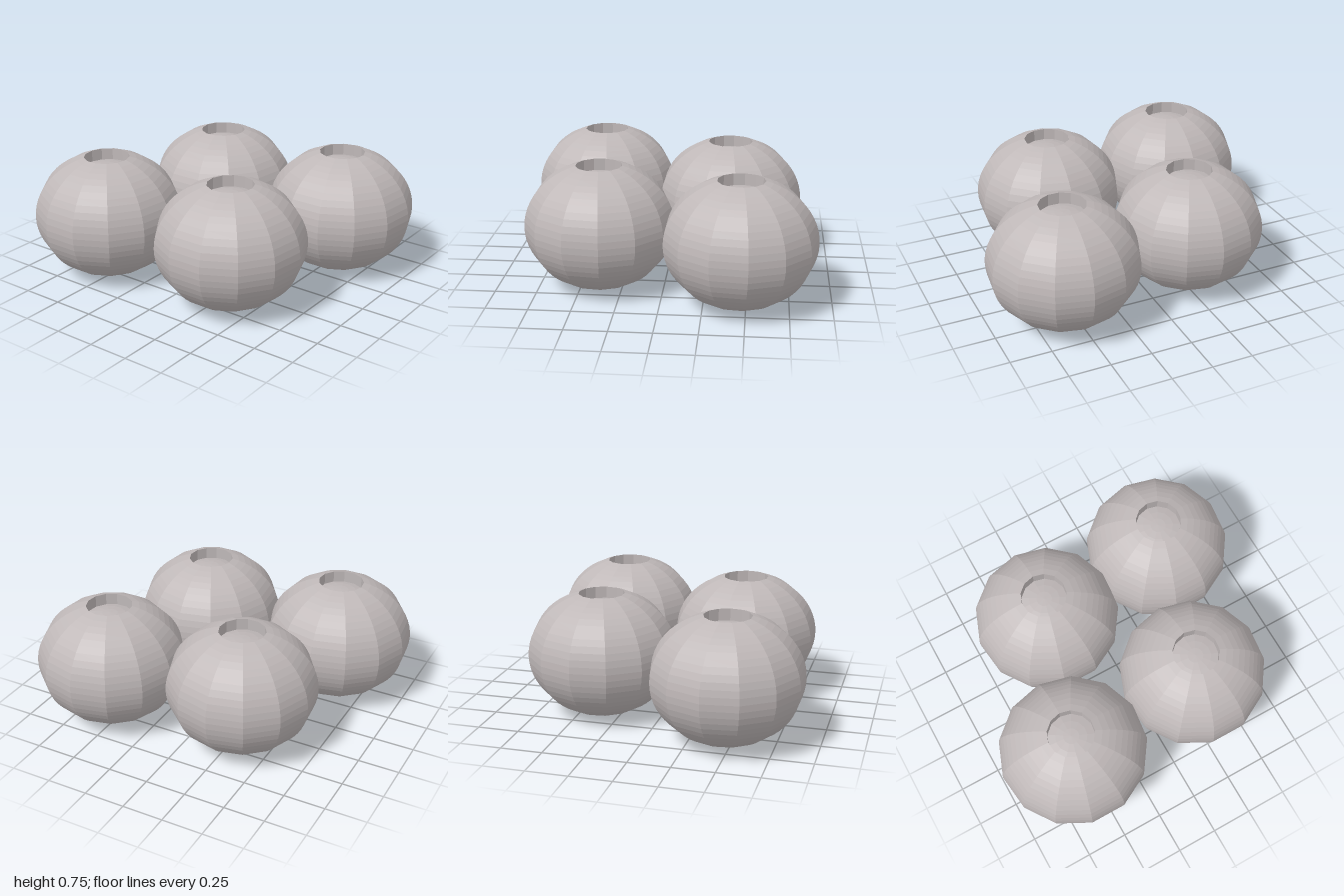
import * as THREE from 'three';

const RADIUS = 0.45, HALF_HEIGHT = 0.385, SIDES = 13, RINGS = 30, CAP_RINGS = 3, RECESS = 0.07;

// Point on the squashed sphere, counted in rings down from the top pole
function ringPoint(ring, drop = 0) {
  const a = (ring / RINGS) * Math.PI;
  return new THREE.Vector2(RADIUS * Math.sin(a), HALF_HEIGHT * (1 + Math.cos(a)) - drop);
}

// Faceted globe whose top cap is sunk to form a shallow round recess
function globeGeometry() {
  const profile = [];
  for (let i = RINGS; i >= CAP_RINGS; i--) profile.push(ringPoint(i));
  for (let i = CAP_RINGS; i >= 0; i--) profile.push(ringPoint(i, RECESS));
  profile[0].x = 0;
  const geometry = new THREE.LatheGeometry(profile, SIDES, Math.PI).toNonIndexed();
  geometry.computeVertexNormals(); // one flat normal per face
  return geometry;
}

export function createModel() {
  const group = new THREE.Group();
  group.name = 'globeHolders';
  const stone = new THREE.MeshStandardMaterial({ color: 0xbfb8b8 });
  stone.name = 'warmGrey';
  const geometry = globeGeometry();

  // Four globes in a loose cluster
  const places = {
    frontRightGlobe: [-0.555, 0.46],
    frontLeftGlobe: [0.32, 0.385],
    backRightGlobe: [-0.29, -0.37],
    backLeftGlobe: [0.553, -0.46],
  };
  for (const [name, [x, z]] of Object.entries(places)) {
    const globe = new THREE.Mesh(geometry, stone);
    globe.name = name;
    globe.position.set(x, 0, z);
    group.add(globe);
  }
  return group;
}
